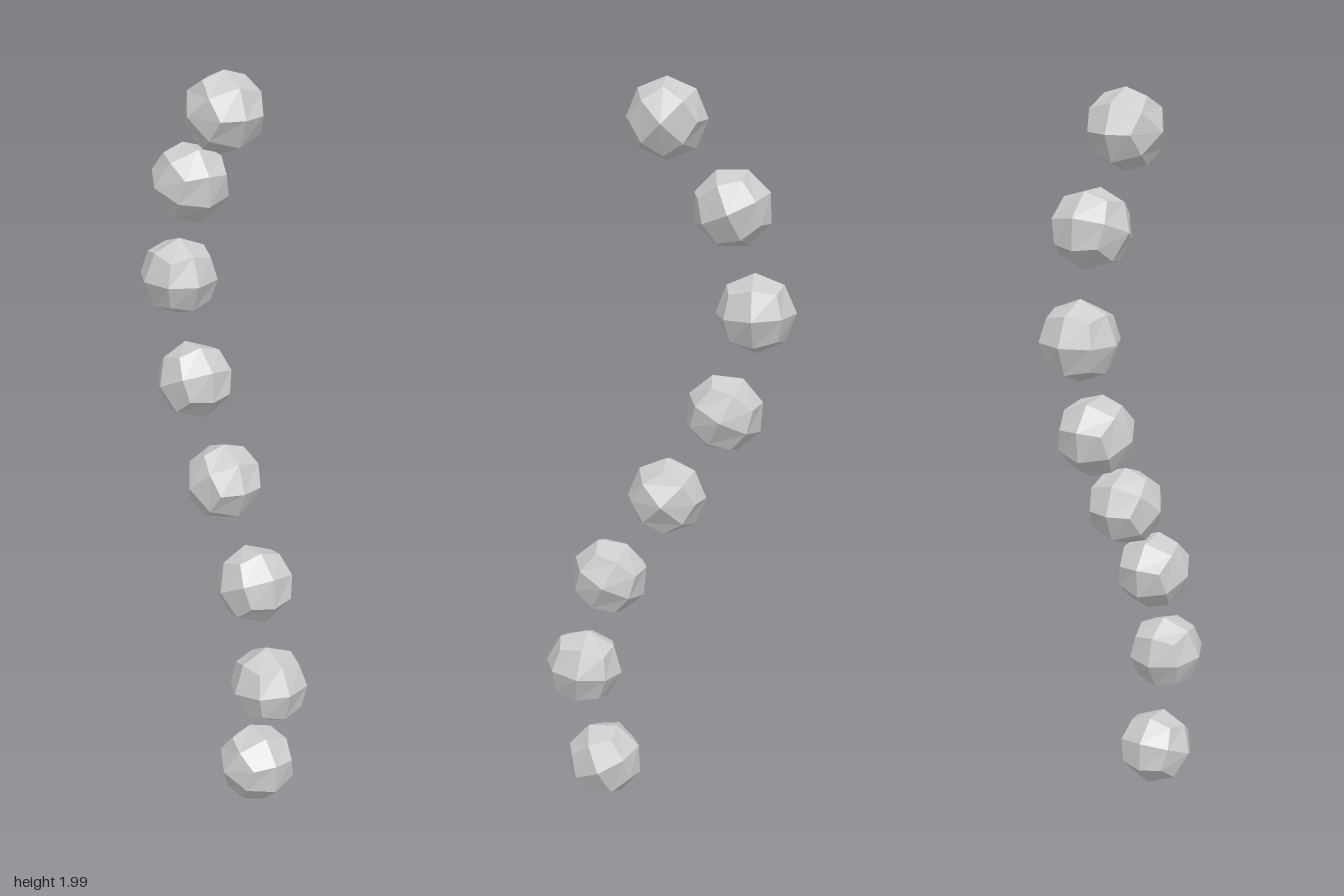
import * as THREE from 'three';

// Low-poly bead: a 2x2 segmented cube pushed out onto a sphere
function beadGeometry(radius) {
  const geo = new THREE.BoxGeometry(1, 1, 1, 2, 2, 2);
  const pos = geo.attributes.position;
  const v = new THREE.Vector3();
  for (let i = 0; i < pos.count; i++) {
    v.fromBufferAttribute(pos, i).setLength(radius);
    pos.setXYZ(i, v.x, v.y, v.z);
  }
  geo.computeVertexNormals();
  return geo;
}

export function createModel() {
  const group = new THREE.Group();
  group.name = 'beadChain';
  const geo = beadGeometry(0.106);
  const mat = new THREE.MeshStandardMaterial({ color: 0xcccccc, flatShading: true });

  // Beads along an S-shaped path, bottom to top: [y, z, tilt in degrees]
  const beads = [
    [0.107, 0.176, 25],
    [0.382, 0.232, -7],
    [0.652, 0.158, -28],
    [0.89, 0, -45],
    [1.129, -0.153, -27],
    [1.399, -0.232, 2],
    [1.671, -0.169, 24],
    [1.894, 0, 45],
  ];
  beads.forEach(([y, z, tilt], i) => {
    const bead = new THREE.Mesh(geo, mat);
    bead.name = `bead${i + 1}`;
    bead.position.set(0, y, z);
    bead.rotation.x = THREE.MathUtils.degToRad(tilt);
    group.add(bead);
  });
  return group;
}
